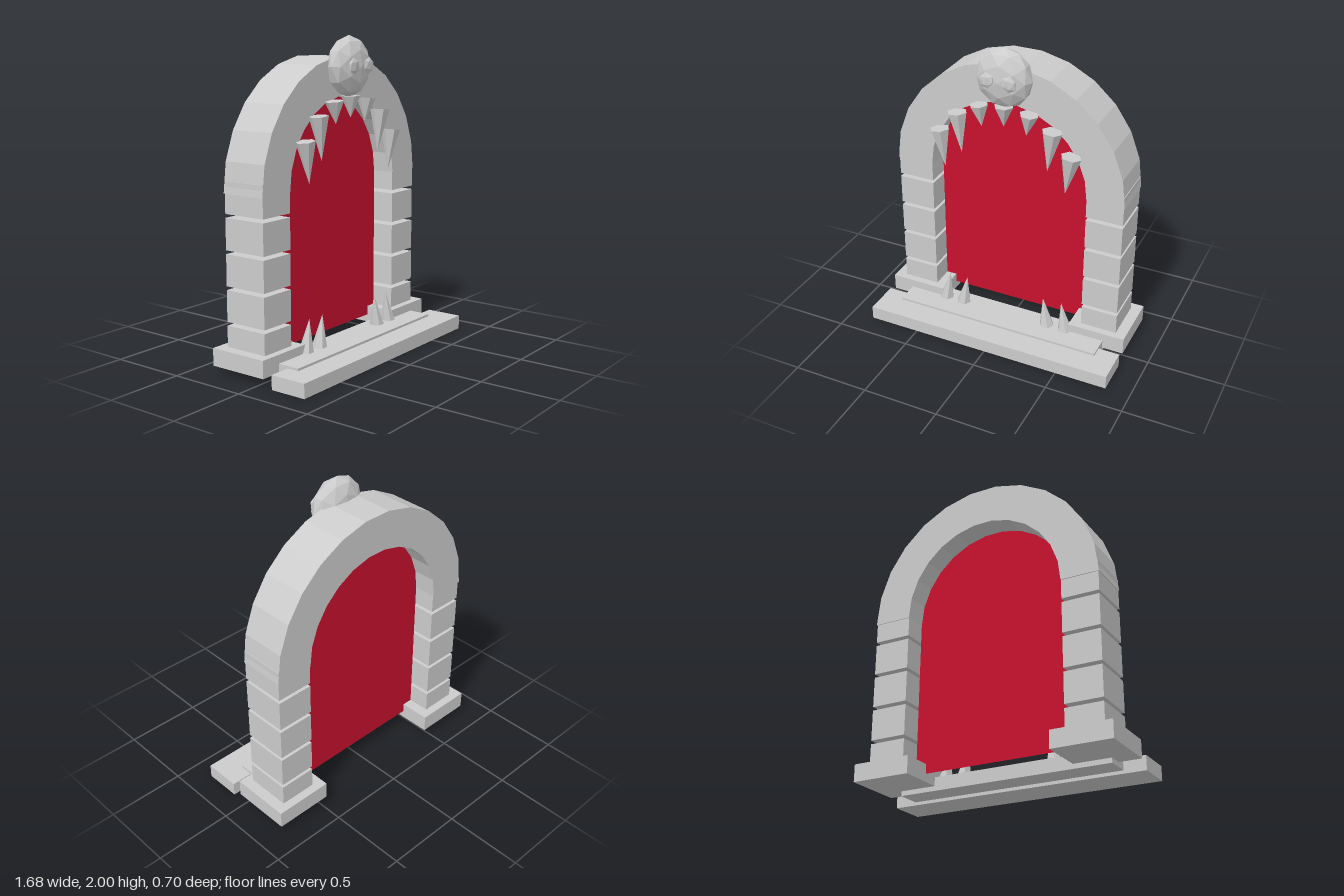
import * as THREE from 'three';

const stone = new THREE.MeshStandardMaterial({ color: 0xcccccc, flatShading: true });
const red = new THREE.MeshStandardMaterial({ color: 0xc8102e, side: THREE.DoubleSide });

const SPRING = 1.09; // height where the arch starts

export function createModel() {
  const model = new THREE.Group();
  model.name = 'monsterGate';

  const add = (name, geometry, material = stone) => {
    const mesh = new THREE.Mesh(geometry, material);
    mesh.name = name;
    model.add(mesh);
    return mesh;
  };

  // Box given by its minimum and maximum on each axis
  const box = (name, x0, x1, y0, y1, z0, z1) =>
    add(name, new THREE.BoxGeometry(x1 - x0, y1 - y0, z1 - z0))
      .position.set((x0 + x1) / 2, (y0 + y1) / 2, (z0 + z1) / 2);

  // Six-sided spike from the centre of its base to its tip
  const spike = (name, base, tip, rx, rz = rx) => {
    const from = new THREE.Vector3(...base);
    const dir = new THREE.Vector3(...tip).sub(from);
    const length = dir.length();
    const geometry = new THREE.ConeGeometry(1, length, 6);
    geometry.rotateY(Math.PI / 6 * 3).translate(0, length / 2, 0).scale(rx, 1, rz);
    const mesh = add(name, geometry);
    mesh.position.copy(from);
    // turn upside down about z so the base stays level in depth
    mesh.rotation.z = Math.atan2(-dir.x, dir.y);
  };

  // Half-round outline of 13 straight segments, from +x to -x
  const arc = (rx, ry) => Array.from({ length: 14 }, (_, i) => {
    const a = i * Math.PI / 13;
    return new THREE.Vector2(Math.cos(a) * rx, SPRING + Math.sin(a) * ry);
  });

  // Steps
  box('frontStep', -0.84, 0.84, 0, 0.09, 0.11, 0.35);
  box('threshold', -0.7, 0.7, 0.02, 0.105, -0.05, 0.19);

  // Pillars: footing and stacked blocks with open joints
  for (const side of [-1, 1]) {
    const mirrored = (name, xi, xo, ...rest) =>
      box(name, Math.min(side * xi, side * xo), Math.max(side * xi, side * xo), ...rest);
    mirrored('footing', 0.46, 0.84, 0.05, 0.16, -0.35, 0.045);
    for (let i = 0; i < 5; i++) {
      const y = 0.097 + i * 0.218;
      mirrored('pillarBlock', 0.53, 0.77, y, y + 0.195, -0.295, -0.002);
    }
  }

  // Arch
  const archShape = new THREE.Shape([...arc(0.775, 0.785), ...arc(0.53, 0.54).reverse()]);
  add('arch', new THREE.ExtrudeGeometry(archShape, { depth: 0.3, bevelEnabled: false }))
    .position.z = -0.3;

  // Red sheet filling the opening
  const sheet = new THREE.Shape([
    new THREE.Vector2(-0.53, 0.1), new THREE.Vector2(0.53, 0.1), ...arc(0.53, 0.54),
  ]);
  add('portalSheet', new THREE.ShapeGeometry(sheet), red).position.z = -0.15;

  // Teeth hanging from the arch and rising from the threshold
  const z = 0.045;
  spike('middleTooth', [0, 1.63, z], [0, 1.495, z], 0.062, 0.06);
  for (const s of [-1, 1]) {
    spike('upperTooth', [s * 0.165, 1.607, z], [s * 0.148, 1.465, z], 0.06);
    spike('upperTooth', [s * 0.315, 1.527, z], [s * 0.288, 1.255, z], 0.065, 0.06);
    spike('upperTooth', [s * 0.44, 1.388, z], [s * 0.407, 1.13, z], 0.065, 0.06);
    spike('lowerTooth', [s * 0.305, 0.1, 0.035], [s * 0.275, 0.305, 0.035], 0.049);
    spike('lowerTooth', [s * 0.435, 0.1, 0.035], [s * 0.402, 0.305, 0.035], 0.049);
  }

  // Faceted head on the crown of the arch, with two flat eyes
  const head = add('head', new THREE.IcosahedronGeometry(1, 1));
  head.scale.set(0.183, 0.19, 0.1);
  head.position.set(0, 1.81, 0.033);
  for (const s of [-1, 1]) {
    const eye = add('eye', new THREE.IcosahedronGeometry(1, 0).rotateZ(s * 0.4).scale(0.05, 0.053, 0.016));
    eye.position.set(s * 0.073, 1.815, 0.128);
  }

  return model;
}
